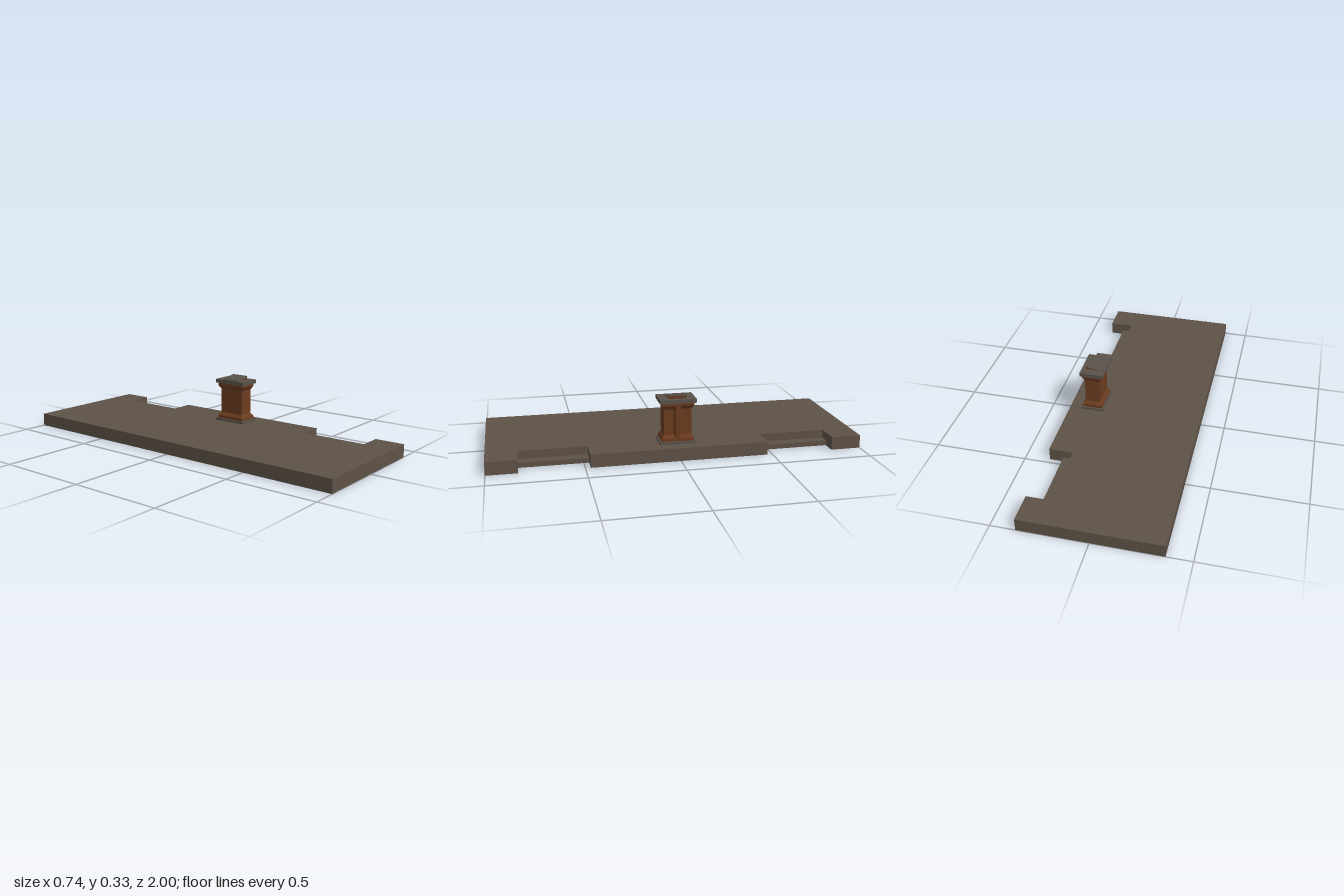
import * as THREE from 'three';

const stone = new THREE.MeshStandardMaterial({ color: 0x5e5247, side: THREE.DoubleSide });
stone.name = 'floorStone';
const trim = new THREE.MeshStandardMaterial({ color: 0x59524a });
trim.name = 'greyTrim';
const wood = new THREE.MeshStandardMaterial({ color: 0x6c3c20 });
wood.name = 'brownWood';

const W = 0.368, TOP = 0.071, STEP = 0.027;
const NOTCH_X = 0.238, STEP_X = 0.293, Z0 = 0.473, Z1 = 0.837;

function add(parent, name, geometry, material, x = 0, y = 0, z = 0) {
  const mesh = new THREE.Mesh(geometry, material);
  mesh.name = name;
  mesh.position.set(x, y, z);
  parent.add(mesh);
  return mesh;
}

// Flat-shaded strip of quads joining successive point loops
function loft(loops, caps = false) {
  const pos = [];
  const quad = (a, b, c, d) => pos.push(...a, ...b, ...c, ...a, ...c, ...d);
  for (let i = 0; i + 1 < loops.length; i++) {
    const lo = loops[i], hi = loops[i + 1], n = lo.length;
    for (let j = 0; j < n; j++) {
      const k = (j + 1) % n;
      quad(lo[j], lo[k], hi[k], hi[j]);
    }
  }
  if (caps) {
    const [a, b, c, d] = loops[0];
    quad(d, c, b, a);
    quad(...loops[loops.length - 1]);
  }
  const g = new THREE.BufferGeometry();
  g.setAttribute('position', new THREE.Float32BufferAttribute(pos, 3));
  g.computeVertexNormals();
  return g;
}

// Rectangle, counter-clockwise seen from above
const rect = (x0, x1, z, y) => [[x0, y, z], [x1, y, z], [x1, y, -z], [x0, y, -z]];

// Upright sheet between two plan points
function sheet(parent, name, x0, z0, x1, z1, y0, y1) {
  const g = new THREE.PlaneGeometry(Math.hypot(x1 - x0, z1 - z0), y1 - y0);
  const m = add(parent, name, g, stone, (x0 + x1) / 2, (y0 + y1) / 2, (z0 + z1) / 2);
  m.rotation.y = Math.atan2(-(z1 - z0), x1 - x0);
}

function makePlatform() {
  const group = new THREE.Group();
  group.name = 'platform';

  // Outline runs from back left, along the plain side, then round both notches
  const outline = [
    [W, -1], [-W, -1], [-W, 1], [W, 1],
    [W, Z1], [NOTCH_X, Z1], [NOTCH_X, Z0], [W, Z0],
    [W, -Z0], [NOTCH_X, -Z0], [NOTCH_X, -Z1], [W, -Z1],
  ];
  const shape = new THREE.Shape(outline.map(([x, z]) => new THREE.Vector2(x, -z)));
  add(group, 'platformTop', new THREE.ShapeGeometry(shape).rotateX(-Math.PI / 2), stone, 0, TOP);

  // Side walls; the notch backs stop at the step
  outline.forEach(([x, z], i) => {
    const [x2, z2] = outline[(i + 1) % outline.length];
    const notchBack = x === NOTCH_X && x2 === NOTCH_X;
    sheet(group, notchBack ? 'notchBack' : 'platformWall', x2, z2, x, z, notchBack ? STEP : 0, TOP);
  });

  // Low step in each notch
  for (const s of [-1, 1]) {
    const zc = s * (Z0 + Z1) / 2;
    const tread = new THREE.PlaneGeometry(STEP_X - NOTCH_X, Z1 - Z0).rotateX(-Math.PI / 2);
    add(group, 'stepTread', tread, stone, (STEP_X + NOTCH_X) / 2, STEP, zc);
    sheet(group, 'stepRiser', STEP_X, zc + (Z1 - Z0) / 2, STEP_X, zc - (Z1 - Z0) / 2, 0, STEP);
  }

  // Partition under the middle
  sheet(group, 'partition', -W, 0, W, 0, 0, TOP);
  return group;
}

function makeLectern() {
  const group = new THREE.Group();
  group.name = 'lectern';
  const cx = 0.239;

  add(group, 'footPlate', new THREE.BoxGeometry(0.13, 0.013, 0.194), trim, cx, 0.0775);
  add(group, 'capPlate', new THREE.BoxGeometry(0.13, 0.021, 0.194), trim, cx, 0.3035);

  // Waisted wooden body: [y, inset]
  const profile = [[0.083, 0], [0.1, 0], [0.118, 0.013], [0.258, 0.013], [0.278, 0], [0.294, 0]];
  add(group, 'body', loft(profile.map(([y, d]) => rect(0.184 + d, 0.294 - d, 0.087 - d, y))), wood);

  // Tapered rib up the middle of the outer face
  const rib = (y) => [[0.278, y, 0.024], [0.294, y, 0.011], [0.294, y, -0.011], [0.278, y, -0.024]];
  add(group, 'centreRib', loft([rib(0.09), rib(0.288)], true), wood);

  // Sloped reading desk: wooden wedge with a thin grey board
  add(group, 'deskWedge', loft([
    rect(0.202, 0.279, 0.048, 0.314),
    [[0.202, 0.3145, 0.048], [0.279, 0.3295, 0.048], [0.279, 0.3295, -0.048], [0.202, 0.3145, -0.048]],
  ], true), wood);
  const slope = (y) => [[0.196, y, 0.052], [0.28, y + 0.018, 0.052], [0.28, y + 0.018, -0.052], [0.196, y, -0.052]];
  add(group, 'deskBoard', loft([slope(0.3115), slope(0.315)], true), trim);
  add(group, 'deskLip', new THREE.BoxGeometry(0.006, 0.004, 0.104), trim, 0.193, 0.316);
  return group;
}

export function createModel() {
  const model = new THREE.Group();
  model.name = 'platformWithLectern';
  model.add(makePlatform(), makeLectern());
  return model;
}
